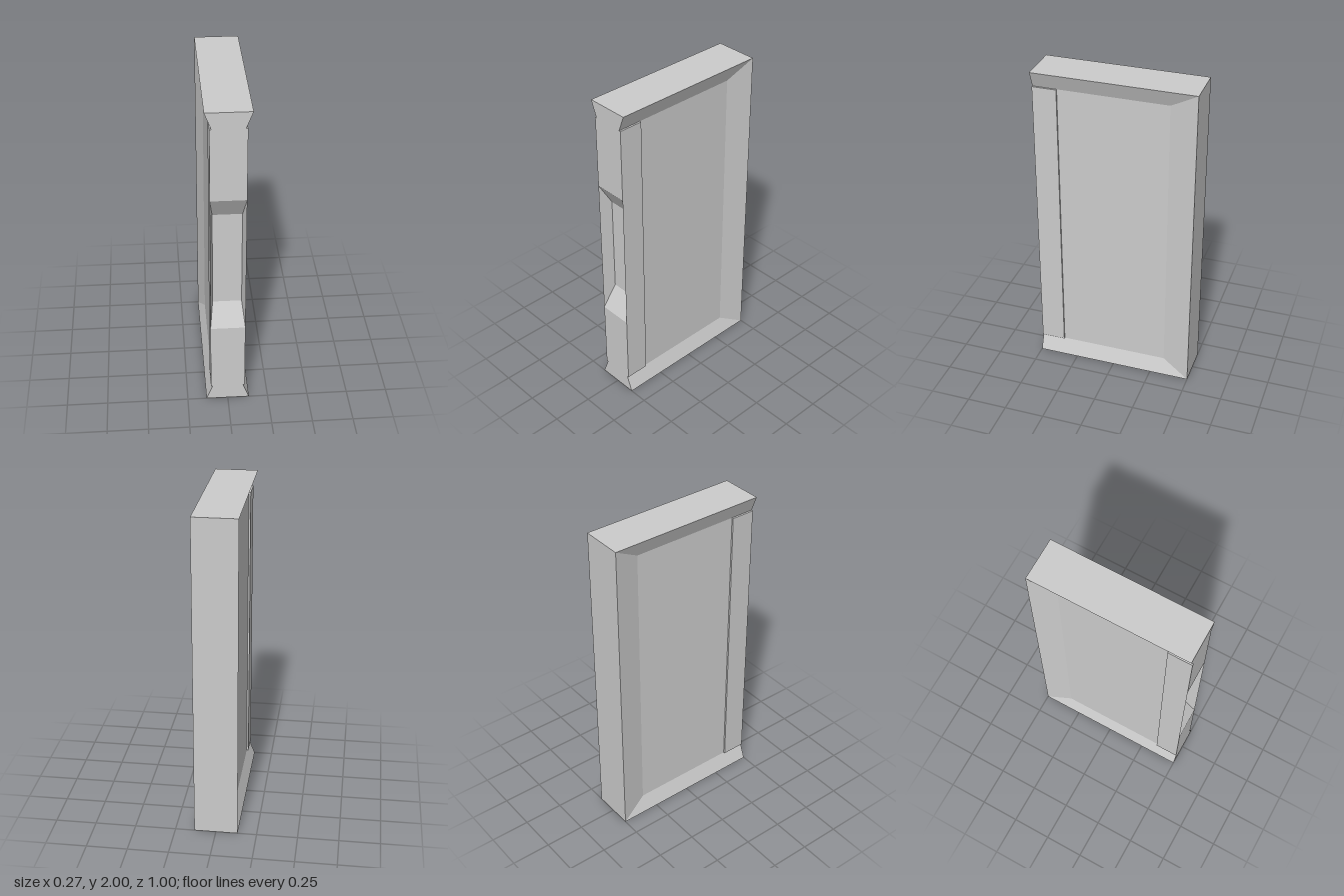
import * as THREE from 'three';

const W = 0.133, H = 2, D = 0.5;            // half width, height, half depth
const PX = 0.094, PY0 = 0.1, PY1 = 1.9, PZ = -0.33; // recessed side panel
const SX = 0.105, SZ = 0.35;                // raised front strip
const GX = 0.087, GZ = 0.42;                // floor of the front grip

// Flat-shaded mesh from quads, corners counter-clockwise seen from outside
function quadMesh(name, quads) {
  const pos = [];
  for (const [a, b, c, d] of quads) pos.push(...a, ...b, ...c, ...a, ...c, ...d);
  const geo = new THREE.BufferGeometry();
  geo.setAttribute('position', new THREE.Float32BufferAttribute(pos, 3));
  geo.computeVertexNormals();
  const mesh = new THREE.Mesh(geo, new THREE.MeshStandardMaterial({ color: 0xcccccc, flatShading: true }));
  mesh.name = name;
  return mesh;
}

// Mirror quads written for the +x side, keeping them facing outwards
const mirror = (quads, s) => s > 0 ? quads
  : quads.map(q => q.map(([x, y, z]) => [-x, y, z]).reverse());

// Quad facing +z, symmetric in x, between two heights with own half widths and depths
const band = (x0, y0, z0, x1, y1, z1) =>
  [[-x0, y0, z0], [x0, y0, z0], [x1, y1, z1], [-x1, y1, z1]];

export function createModel() {
  const group = new THREE.Group();

  // Flat top, bottom and back
  group.add(quadMesh('outerShell', [
    [[-W, H, D], [W, H, D], [W, H, -D], [-W, H, -D]],
    [[-W, 0, -D], [W, 0, -D], [W, 0, D], [-W, 0, D]],
    [[W, 0, -D], [-W, 0, -D], [-W, H, -D], [W, H, -D]],
  ]));

  // Front face above and below the grip
  group.add(quadMesh('frontFace', [
    band(W, 0, D, PX, PY0, D),
    band(SX, PY0, D, SX, 0.55, D),
    band(SX, 1.45, D, SX, PY1, D),
    band(PX, PY1, D, W, H, D),
  ]));

  // Tapered grip recess
  const gripWall = [[[SX, 0.55, D], [SX, 1.45, D], [GX, 1.31, GZ], [GX, 0.695, GZ]]];
  group.add(quadMesh('gripRecess', [
    band(SX, 0.55, D, GX, 0.695, GZ),
    band(GX, 0.695, GZ, GX, 1.31, GZ),
    band(GX, 1.31, GZ, SX, 1.45, D),
    ...mirror(gripWall, 1), ...mirror(gripWall, -1),
  ]));

  // Recessed side panel with bevelled borders
  const panel = [
    [[PX, PY0, D], [PX, PY0, PZ], [PX, PY1, PZ], [PX, PY1, D]],
    [[W, 0, D], [W, 0, -D], [PX, PY0, PZ], [PX, PY0, D]],
    [[PX, PY1, D], [PX, PY1, PZ], [W, H, -D], [W, H, D]],
    [[PX, PY0, PZ], [W, 0, -D], [W, H, -D], [PX, PY1, PZ]],
  ];
  // Thin strip along the front edge of the panel
  const strip = [
    [[SX, PY0, D], [SX, PY0, SZ], [SX, PY1, SZ], [SX, PY1, D]],
    [[SX, PY0, SZ], [PX, PY0, SZ], [PX, PY1, SZ], [SX, PY1, SZ]],
    [[PX, PY1, D], [SX, PY1, D], [SX, PY1, SZ], [PX, PY1, SZ]],
    [[PX, PY0, SZ], [SX, PY0, SZ], [SX, PY0, D], [PX, PY0, D]],
  ];
  for (const [s, side] of [[1, 'left'], [-1, 'right']]) {
    group.add(quadMesh(side + 'Panel', mirror(panel, s)));
    group.add(quadMesh(side + 'Strip', mirror(strip, s)));
  }

  // Panel surface in front of the grip floor is cut away by the recess
  for (const side of ['left', 'right']) {
    const s = side === 'left' ? 1 : -1;
    const t = (SX - PX) / (SX - GX);        // where the grip wall crosses the panel
    const zc = D + (GZ - D) * t;
    const mesh = group.getObjectByName(side + 'Panel');
    const y0 = 0.55 + 0.145 * t, y1 = 1.45 - 0.14 * t;
    const pieces = [
      [[PX, PY0, zc], [PX, PY0, PZ], [PX, PY1, PZ], [PX, PY1, zc]],
      [[PX, PY0, D], [PX, PY0, zc], [PX, y0, zc], [PX, 0.55, D]],
      [[PX, 1.45, D], [PX, y1, zc], [PX, PY1, zc], [PX, PY1, D]],
    ];
    mesh.geometry = quadMesh('', mirror([...pieces, ...panel.slice(1)], s)).geometry;
  }
  return group;
}
